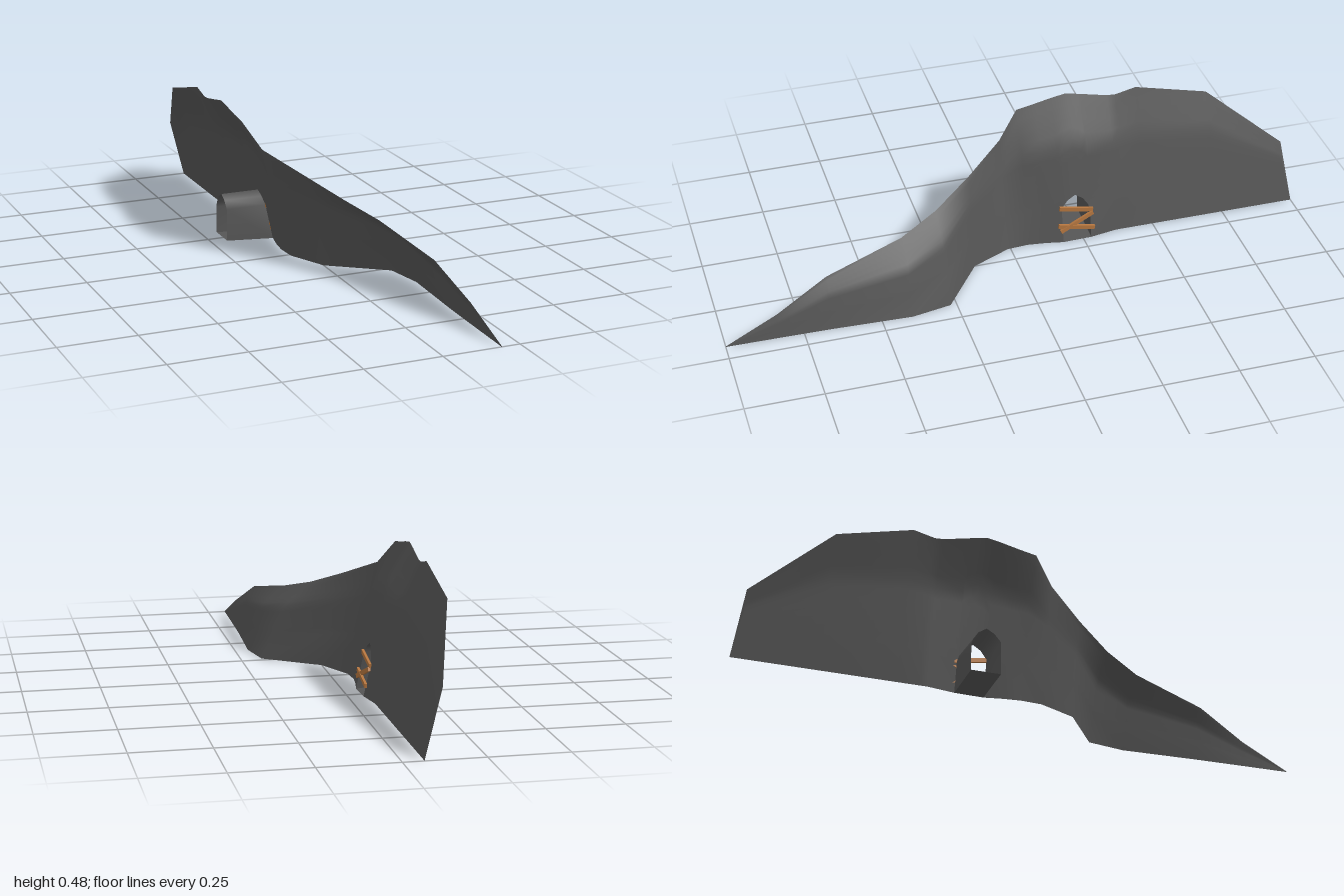
import * as THREE from 'three';

// Cross-sections of the rock face: z, crest height, x at foot, x at 70% height, x at crest
const SECTIONS = [
  [1, 0.002, 0.19, 0.19, 0.19], [0.83, 0.08, 0.192, 0.182, 0.175],
  [0.66, 0.165, 0.195, 0.165, 0.137], [0.4, 0.22, 0.205, 0.155, 0.075],
  [0.27, 0.257, 0.18, 0.1, 0.012], [0.14, 0.31, 0, -0.035, -0.068],
  [0.01, 0.37, -0.06, -0.133, -0.158], [-0.06, 0.45, -0.065, -0.13, -0.2],
  [-0.12, 0.46, -0.058, -0.123, -0.203], [-0.18, 0.472, -0.046, -0.118, -0.205],
  [-0.23, 0.48, -0.045, -0.118, -0.206], [-0.278, 0.47, -0.049, -0.12, -0.205],
  [-0.37, 0.452, -0.065, -0.124, -0.2], [-0.4, 0.45, -0.065, -0.14, -0.2],
  [-0.47, 0.466, -0.065, -0.145, -0.2], [-0.72, 0.405, -0.065, -0.143, -0.2],
  [-0.972, 0.206, -0.065, -0.103, -0.123], [-1, 0.002, -0.065, -0.065, -0.065],
];

// Outline of the tunnel mouth above its foot: z, y
const ARCH = [[-0.18, 0.12], [-0.202, 0.145], [-0.228, 0.16], [-0.255, 0.143], [-0.272, 0.118], [-0.278, 0.1]];
const BACK_X = -0.209;

function sectionAt(z) {
  let i = 0;
  while (i < SECTIONS.length - 2 && SECTIONS[i + 1][0] > z) i++;
  const a = SECTIONS[i], b = SECTIONS[i + 1];
  const t = (z - a[0]) / (b[0] - a[0]);
  return a.map((v, k) => v + (b[k] - v) * t);
}

function surfaceX(z, y) {
  const [, top, foot, mid, crest] = sectionAt(z);
  const t = y / top;
  return t < 0.7 ? foot + (mid - foot) * t / 0.7 : mid + (crest - mid) * (t - 0.7) / 0.3;
}

// Joins equal-length rows of points into a smooth surface; skip leaves holes
function gridGeometry(columns, skip = () => false) {
  const n = columns[0].length, index = [];
  for (let i = 0; i < columns.length - 1; i++) {
    for (let j = 0; j < n - 1; j++) {
      if (skip(i, j)) continue;
      const a = i * n + j, b = a + n;
      index.push(a, b, b + 1, a, b + 1, a + 1);
    }
  }
  const g = new THREE.BufferGeometry();
  g.setAttribute('position', new THREE.Float32BufferAttribute(columns.flat(2), 3));
  g.setIndex(index);
  g.computeVertexNormals();
  return g;
}

export function createModel() {
  const group = new THREE.Group();
  const rock = new THREE.MeshStandardMaterial({ color: 0x555555, side: THREE.DoubleSide });
  rock.name = 'dark grey rock';
  const wood = new THREE.MeshStandardMaterial({ color: 0xb5763f });
  wood.name = 'brown wood';
  const add = (name, geometry, material) => {
    const mesh = new THREE.Mesh(geometry, material);
    mesh.name = name;
    group.add(mesh);
    return mesh;
  };

  // Leaning, winding rock face with the tunnel mouth left open in its bottom row
  const first = ARCH[0][0], last = ARCH[ARCH.length - 1][0];
  const feet = SECTIONS.filter(s => s[0] > first || s[0] < last)
    .map(s => [s[0], Math.min(0.11, s[1] * 0.35)])
    .concat(ARCH).sort((a, b) => b[0] - a[0]);
  const ROWS = 10;
  const columns = feet.map(([z, base]) => {
    const top = sectionAt(z)[1];
    const points = [[surfaceX(z, 0), 0, z]];
    for (let j = 0; j <= ROWS; j++) {
      const y = base + (top - base) * j / ROWS;
      points.push([surfaceX(z, y), y, z]);
    }
    return points;
  });
  const inMouth = i => feet[i][0] <= first && feet[i + 1][0] >= last;
  add('rockFace', gridGeometry(columns, (i, j) => j === 0 && inMouth(i)), rock);

  // Tunnel running back from the mouth, with a slightly rising floor
  const lining = [[first, 0], ...ARCH, [last, 0]];
  const rings = lining.map(([z, y]) => [[surfaceX(z, y), y, z], [BACK_X, Math.max(y, 0.012), z]]);
  add('tunnelLining', gridGeometry(rings), rock);
  add('tunnelFloor', gridGeometry([rings[rings.length - 1], rings[0]]), rock);

  // Planks nailed across the mouth: start z, y and end z, y
  const planks = [[-0.172, 0.12, -0.287, 0.1], [-0.172, 0.04, -0.287, 0.09], [-0.165, 0.06, -0.29, 0.037]];
  planks.forEach(([z0, y0, z1, y1], i) => {
    const a = new THREE.Vector3(surfaceX(z0, y0) + 0.004 + i * 0.001, y0, z0);
    const b = new THREE.Vector3(surfaceX(z1, y1) + 0.004 + i * 0.001, y1, z1);
    const plank = add('plank' + (i + 1), new THREE.BoxGeometry(0.008, 0.014, a.distanceTo(b)), wood);
    plank.position.copy(a).add(b).multiplyScalar(0.5);
    plank.lookAt(b);
  });

  return group;
}
